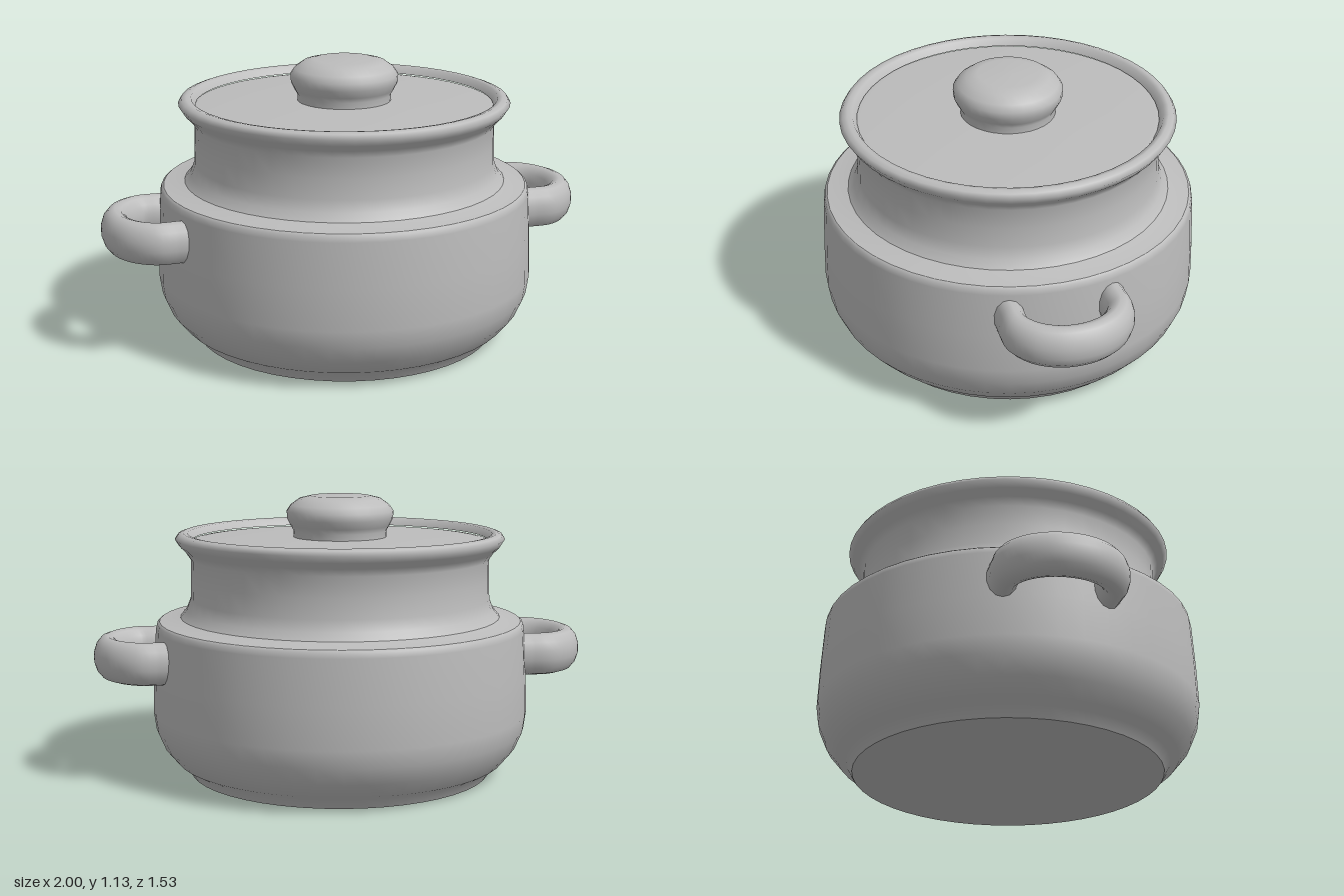
import * as THREE from 'three';

export function createModel() {
  const pot = new THREE.Group();
  pot.name = 'casserolePot';
  const ceramic = new THREE.MeshStandardMaterial({ color: 0xbcbcbc });
  ceramic.name = 'grey ceramic';

  // Turned part from [radius, height] points, listed from bottom to top outside
  function turned(name, profile, segments = 48) {
    const points = profile.map(([r, y]) => new THREE.Vector2(r, y));
    const mesh = new THREE.Mesh(new THREE.LatheGeometry(points, segments), ceramic);
    mesh.name = name;
    pot.add(mesh);
  }

  // Pot: flat base, bellied wall with a shoulder, then a narrower neck
  turned('base', [[0, 0], [0.615, 0]]);
  turned('body', [
    [0.615, 0], [0.64, 0.04], [0.675, 0.06], [0.725, 0.12], [0.755, 0.19],
    [0.765, 0.26], [0.76, 0.42], [0.75, 0.6], [0.745, 0.622], [0.735, 0.63],
  ]);
  turned('shoulder', [[0.735, 0.63], [0.69, 0.636], [0.65, 0.645]]);
  turned('neck', [
    [0.65, 0.645], [0.625, 0.675], [0.608, 0.72], [0.605, 0.8], [0.605, 0.88],
    [0.625, 0.91], [0.65, 0.935], [0.667, 0.962], [0.655, 0.98], [0.635, 0.987],
    [0.615, 0.983], [0.598, 0.955],
  ]);

  // Lid sits just inside the rim
  turned('lid', [[0.605, 0.95], [0.58, 0.953], [0.4, 0.96], [0.15, 0.966], [0, 0.966]]);
  turned('lidKnob', [
    [0.19, 0.95], [0.188, 0.99], [0.2, 1.01], [0.215, 1.04], [0.217, 1.07],
    [0.2, 1.095], [0.165, 1.12], [0.12, 1.131], [0, 1.133],
  ], 32);

  // Loop handles, taller than they are thick
  const path = new THREE.CatmullRomCurve3([
    [0.66, 0.2], [0.74, 0.2], [0.82, 0.198], [0.89, 0.15], [0.932, 0.075], [0.943, 0],
    [0.932, -0.075], [0.89, -0.15], [0.82, -0.198], [0.74, -0.2], [0.66, -0.2],
  ].map(([x, z]) => new THREE.Vector3(x, 0, z)));
  const handleGeometry = new THREE.TubeGeometry(path, 40, 0.057, 14).scale(1, 1.5, 1);
  for (const side of [1, -1]) {
    const handle = new THREE.Mesh(handleGeometry, ceramic);
    handle.name = side > 0 ? 'leftHandle' : 'rightHandle';
    handle.position.y = 0.496;
    handle.rotation.y = side > 0 ? 0 : Math.PI;
    pot.add(handle);
  }
  return pot;
}
